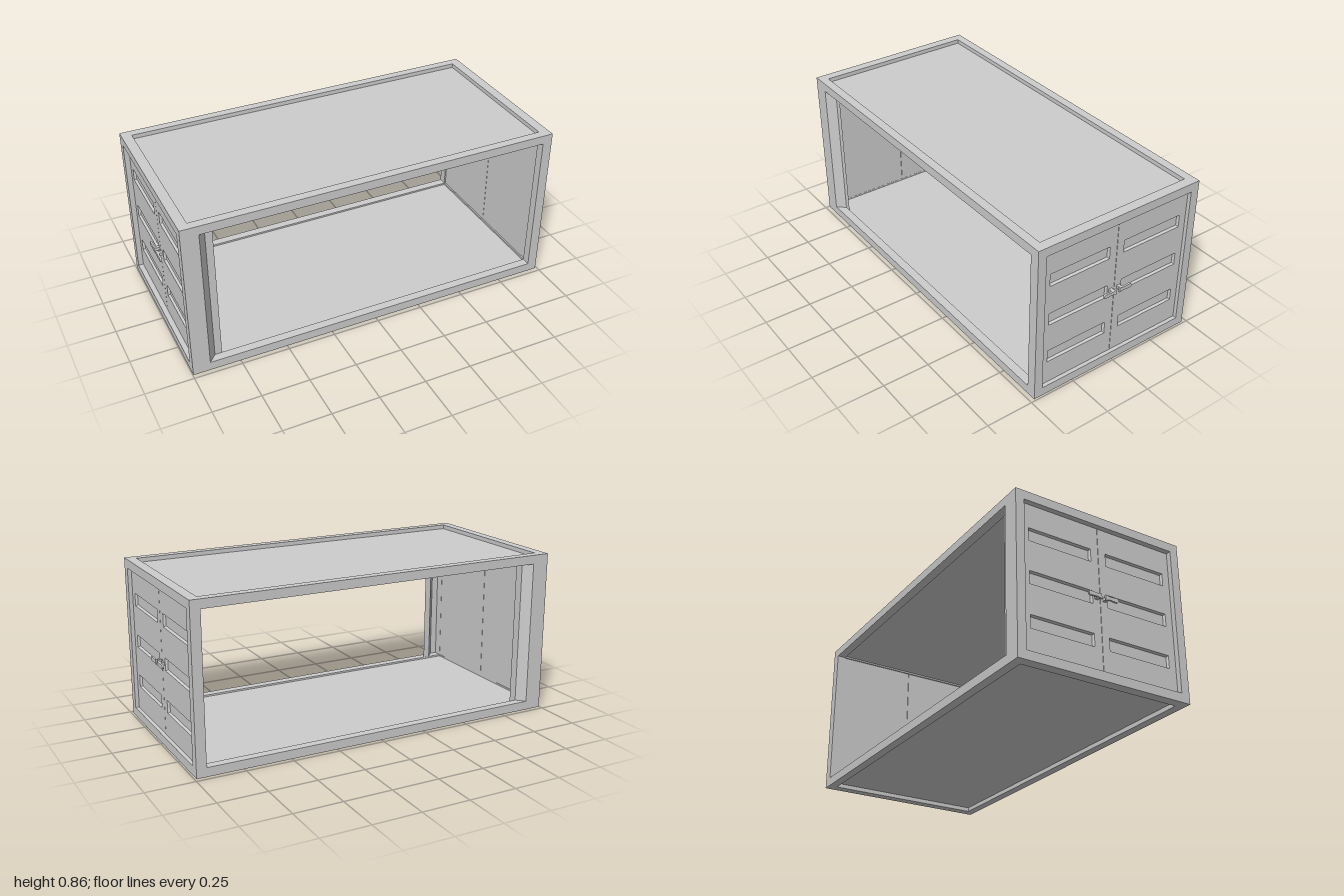
import * as THREE from 'three';

export function createModel() {
  const model = new THREE.Group();
  const steel = new THREE.MeshStandardMaterial({ color: 0xcccccc, side: THREE.DoubleSide, flatShading: true });
  steel.name = 'grey steel';

  // Overall extents and bar sizes
  const X0 = -0.997, X1 = 0.99, H = 0.857, Z = 0.476;
  const postX = 0.052, barY = 0.047, barZ = 0.046;
  const midX = (X0 + X1) / 2, innerX = X1 - X0 - 2 * postX, innerZ = 2 * (Z - barZ);
  const yMid = H / 2, innerY = H - 2 * barY;

  function add(parent, name, geometry, x = 0, y = 0, z = 0) {
    const mesh = new THREE.Mesh(geometry, steel);
    mesh.name = name;
    mesh.position.set(x, y, z);
    parent.add(mesh);
    return mesh;
  }
  const box = (parent, name, w, h, d, x, y, z) =>
    add(parent, name, new THREE.BoxGeometry(w, h, d), x, y, z);

  // Frame: four corner posts, four long rails, four end rails
  const frame = new THREE.Group();
  frame.name = 'frame';
  model.add(frame);
  for (const x of [X0 + postX / 2, X1 - postX / 2]) {
    for (const s of [-1, 1]) box(frame, 'cornerPost', postX, H, barZ, x, yMid, s * (Z - barZ / 2));
    for (const y of [barY / 2, H - barY / 2]) box(frame, 'endRail', postX, barY, innerZ, x, y, 0);
  }
  for (const y of [barY / 2, H - barY / 2]) {
    for (const s of [-1, 1]) box(frame, 'sideRail', innerX, barY, barZ, midX, y, s * (Z - barZ / 2));
  }

  // Floor and roof, sunk into the frame
  box(model, 'floor', innerX, 0.015, innerZ, midX, 0.03, 0);
  box(model, 'roof', innerX, 0.015, innerZ, midX, H - 0.03, 0);

  // Short folded strip of side wall next to the x-minus posts
  const fold = [[X0 + postX, Z], [-0.907, Z], [-0.867, Z - 0.044], [-0.83, Z - 0.044]];
  for (const s of [-1, 1]) {
    const sheet = new THREE.PlaneGeometry(1, innerY, 3, 1);
    const p = sheet.attributes.position;
    for (let i = 0; i < p.count; i++) {
      const [x, z] = fold[i % 4];
      p.setX(i, x);
      p.setZ(i, s * z);
    }
    sheet.computeVertexNormals();
    add(model, 'sideWallStrip', sheet, 0, yMid, 0);
  }

  // Rectangular path, used for door leaves and their recesses
  function rect(path, x0, y0, x1, y1) {
    path.moveTo(x0, y0);
    path.lineTo(x1, y0);
    path.lineTo(x1, y1);
    path.lineTo(x0, y1);
    path.closePath();
    return path;
  }

  // Sunken tray with sloping walls
  function tray(w, h, bevel, depth) {
    const loop = (a, b, z) => [[-a, -b, z], [a, -b, z], [a, b, z], [-a, b, z]];
    const points = [...loop(w / 2, h / 2, 0), ...loop(w / 2 - bevel, h / 2 - bevel, -depth)];
    const index = [4, 5, 6, 4, 6, 7];
    for (let i = 0; i < 4; i++) {
      const j = (i + 1) % 4;
      index.push(i, j, j + 4, i, j + 4, i + 4);
    }
    const g = new THREE.BufferGeometry();
    g.setAttribute('position', new THREE.Float32BufferAttribute(points.flat(), 3));
    g.setIndex(index);
    const flat = g.toNonIndexed();
    flat.computeVertexNormals();
    return flat;
  }

  // Door handle outline: flared at the seam, rounded at the far end
  function handleShape() {
    const s = new THREE.Shape();
    s.moveTo(0.011, -0.014);
    s.quadraticCurveTo(0.026, -0.008, 0.045, -0.009);
    s.lineTo(0.074, -0.011);
    s.absarc(0.074, 0, 0.011, -Math.PI / 2, Math.PI / 2, false);
    s.lineTo(0.045, 0.009);
    s.quadraticCurveTo(0.026, 0.008, 0.011, 0.014);
    s.closePath();
    return s;
  }

  // One leaf, built on the +x side of the seam and facing +z
  const back = 0.946, front = 0.97, sink = 0.012;
  const rows = [0.207, 0.428, 0.651], rx0 = 0.043, rx1 = 0.39, rh = 0.067;
  function doorLeaf() {
    const leaf = new THREE.Group();
    leaf.name = 'doorLeaf';
    const x0 = 0.001, x1 = Z - barZ, y0 = barY, y1 = H - barY;
    const shape = rect(new THREE.Shape(), x0, y0, x1, y1);
    for (const y of rows) shape.holes.push(rect(new THREE.Path(), rx0, y - rh / 2, rx1, y + rh / 2));
    const skin = front - back - 0.008;
    add(leaf, 'doorSkin', new THREE.ExtrudeGeometry(shape, { depth: skin, bevelEnabled: false }), 0, 0, front - skin);
    box(leaf, 'doorLining', x1 - x0, y1 - y0, 0.008, (x0 + x1) / 2, yMid, back + 0.004);
    for (const y of rows) {
      add(leaf, 'doorRecess', tray(rx1 - rx0, rh, 0.006, sink), (rx0 + rx1) / 2, y, front);
    }
    box(leaf, 'handleStem', 0.018, 0.016, 0.024, 0.024, yMid, front + 0.011);
    add(leaf, 'handle', new THREE.ExtrudeGeometry(handleShape(), { depth: 0.01, bevelEnabled: false, curveSegments: 6 }),
      0, yMid, 0.99);
    return leaf;
  }

  // Double doors on both ends
  for (const s of [1, -1]) {
    const doors = new THREE.Group();
    doors.name = s > 0 ? 'leftDoors' : 'rightDoors';
    const leafA = doorLeaf(), leafB = doorLeaf();
    leafB.scale.x = -1;
    doors.add(leafA, leafB);
    doors.rotation.y = s * Math.PI / 2;
    model.add(doors);
  }

  return model;
}
